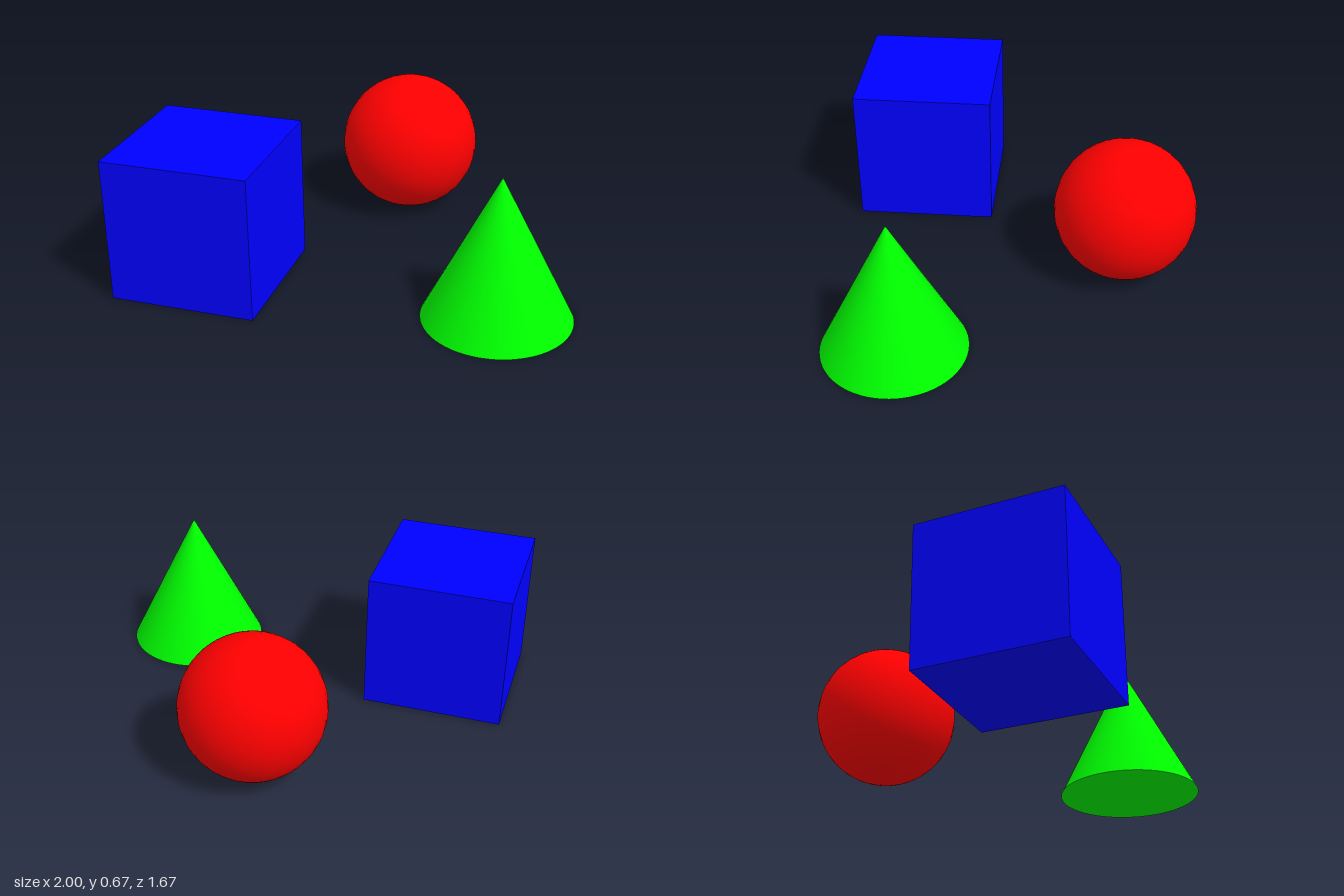
import * as THREE from 'three';

const SIZE = 2 / 3; // every solid fits a cube of this size
const R = SIZE / 2;

export function createModel() {
  const model = new THREE.Group();

  const add = (name, geometry, color, x, z) => {
    const mesh = new THREE.Mesh(geometry, new THREE.MeshStandardMaterial({ color }));
    mesh.name = name;
    mesh.position.set(x, R, z);
    model.add(mesh);
  };

  // Three primitives standing on the ground in a triangle
  add('cube', new THREE.BoxGeometry(SIZE, SIZE, SIZE), 0x0000ff, -SIZE, 0.5);
  add('sphere', new THREE.SphereGeometry(R, 32, 32), 0xff0000, 0, -0.5);
  add('cone', new THREE.ConeGeometry(R, SIZE, 64), 0x00ff00, SIZE, 0.5);

  return model;
}
